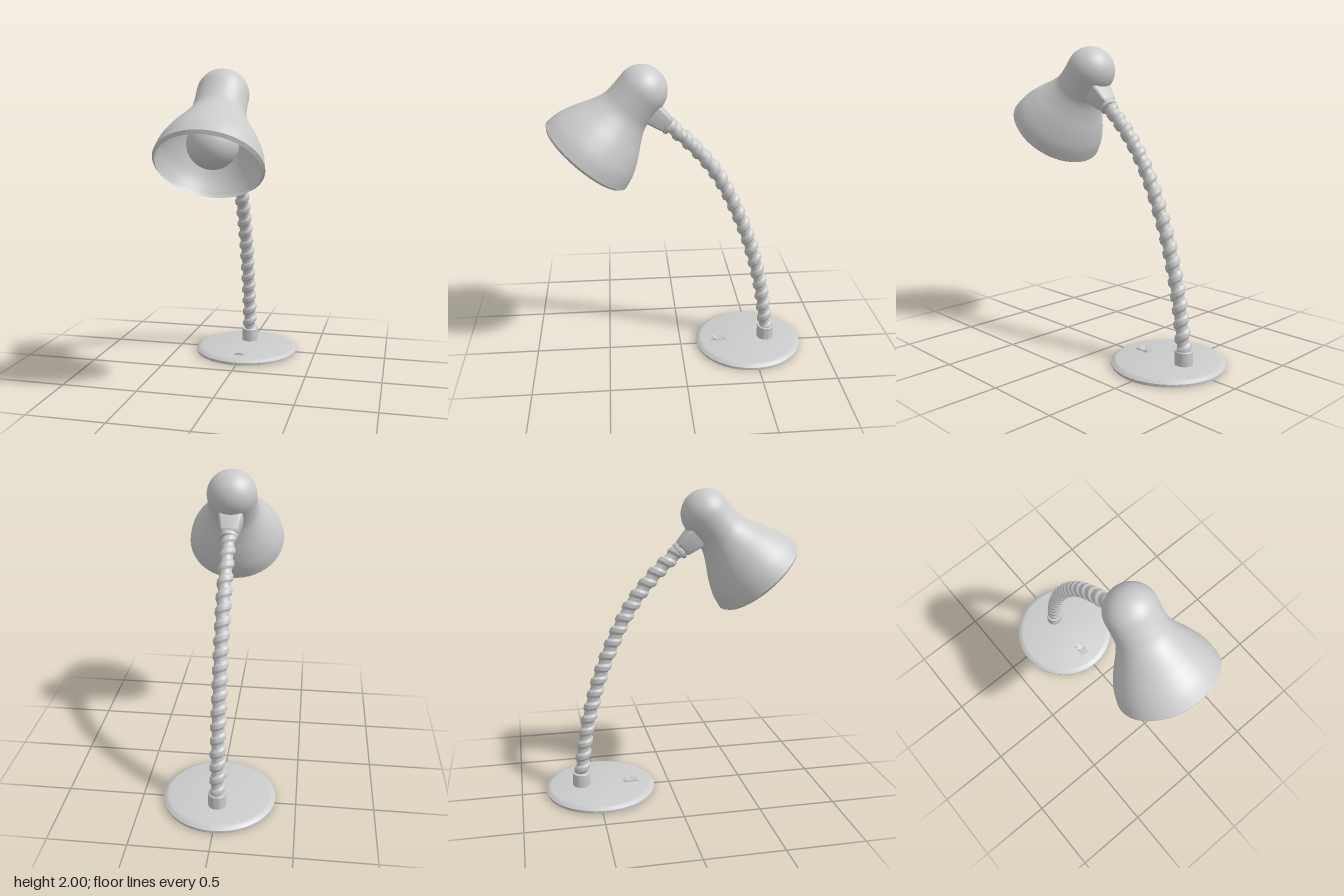
import * as THREE from 'three';
import { toCreasedNormals } from 'three/addons/utils/BufferGeometryUtils.js';
import { RoundedBoxGeometry } from 'three/addons/geometries/RoundedBoxGeometry.js';

const grey = new THREE.MeshStandardMaterial({ color: 0xcccccc });

function part(name, geometry, parent, x = 0, y = 0, z = 0) {
  const mesh = new THREE.Mesh(geometry, grey);
  mesh.name = name;
  mesh.position.set(x, y, z);
  parent.add(mesh);
  return mesh;
}

const lathe = (points, segments = 72) =>
  toCreasedNormals(new THREE.LatheGeometry(points, segments), 0.5);
const pts = (list) => list.map(([x, y]) => new THREE.Vector2(x, y));

// Tube whose wall rises and falls along a spiral, like a wound metal hose
function spiralHose(curve, radius, depth, pitch) {
  const rings = 480, sides = 24;
  const turns = curve.getLength() / pitch;
  const geometry = new THREE.TubeGeometry(curve, rings, radius, sides);
  const pos = geometry.attributes.position;
  const v = new THREE.Vector3();
  for (let i = 0; i <= rings; i++) {
    const centre = curve.getPointAt(i / rings);
    for (let j = 0; j <= sides; j++) {
      const k = i * (sides + 1) + j;
      const wave = Math.sin(2 * Math.PI * (turns * i / rings + j / sides));
      const r = radius + depth * THREE.MathUtils.clamp(wave * 1.8, -1, 1);
      v.fromBufferAttribute(pos, k).sub(centre).setLength(r).add(centre);
      pos.setXYZ(k, v.x, v.y, v.z);
    }
  }
  return toCreasedNormals(geometry, 0.6);
}

// Shade profile: inner wall down to the lip, then outer wall up to the dome.
// The local origin is the dome centre and the opening points down -y.
function shadeGeometry() {
  const R = 0.158, wall = 0.014;
  const flare = new THREE.SplineCurve(pts([
    [0.322, -0.538], [0.302, -0.445], [0.257, -0.345], [0.203, -0.25],
    [0.167, -0.17], [0.158, -0.09], [R, 0],
  ])).getPoints(36);
  const dome = [];
  for (let i = 1; i <= 16; i++) {
    const a = (i / 16) * Math.PI / 2;
    dome.push(new THREE.Vector2(R * Math.cos(a), R * Math.sin(a)));
  }
  dome[15].x = 0;
  const outer = [...flare, ...dome];
  const inner = outer.map((p) => new THREE.Vector2(
    Math.max(0, p.x - wall), p.y > 0 ? p.y * (1 - wall / R) : p.y)).reverse();
  return lathe([...inner, new THREE.Vector2(0.305, -0.556), ...outer], 80);
}

export function createModel() {
  const lamp = new THREE.Group();
  lamp.name = 'deskLamp';

  // Round base with a stepped, bevelled edge
  part('base', lathe(pts([
    [0, 0], [0.36, 0], [0.36, 0.011], [0.366, 0.014], [0.366, 0.021],
    [0.352, 0.03], [0.343, 0.037], [0.33, 0.04], [0, 0.04],
  ])), lamp, 0, 0, -0.475);

  // Rocker switch: frame and a dished key
  const frame = new THREE.Shape(pts([[-0.03, -0.05], [0.03, -0.05], [0.03, 0.05], [-0.03, 0.05]]));
  frame.holes.push(new THREE.Path(pts([[-0.022, -0.041], [-0.022, 0.041], [0.022, 0.041], [0.022, -0.041]])));
  const frameGeometry = new THREE.ExtrudeGeometry(frame, { depth: 0.008, bevelEnabled: false });
  part('switchFrame', frameGeometry.rotateX(-Math.PI / 2), lamp, 0, 0.038, -0.265);
  const key = new THREE.Shape(pts([[-0.04, 0], [0.04, 0], [0.04, 0.014], [0, 0.006], [-0.04, 0.014]]));
  const keyGeometry = new THREE.ExtrudeGeometry(key, { depth: 0.042, bevelEnabled: false });
  part('switchKey', keyGeometry.translate(0, 0, -0.021).rotateY(Math.PI / 2), lamp, 0, 0.038, -0.265);

  // Collar that holds the neck
  part('neckCollar', lathe(pts([
    [0, 0], [0.058, 0], [0.058, 0.088], [0.055, 0.092], [0, 0.092],
  ]), 40), lamp, 0, 0.038, -0.602);

  // Bent gooseneck
  const neckPath = new THREE.CatmullRomCurve3([
    [0.1, -0.602], [0.3, -0.578], [0.52, -0.538], [0.877, -0.432],
    [1.25, -0.257], [1.45, -0.105], [1.63, 0.085],
  ].map(([y, z]) => new THREE.Vector3(0, y, z)));
  part('neck', spiralHose(neckPath, 0.045, 0.006, 0.09), lamp);

  // Joint between neck and shade: a ring and a tapered block
  const joint = new THREE.Group();
  joint.name = 'shadeJoint';
  joint.position.set(0, 1.61, 0.07);
  joint.rotation.x = 0.86;
  lamp.add(joint);
  part('jointRing', lathe(pts([
    [0, -0.012], [0.052, -0.012], [0.058, -0.006], [0.058, 0.012], [0.05, 0.02], [0, 0.02],
  ]), 40), joint);
  const block = new RoundedBoxGeometry(0.17, 0.18, 0.15, 4, 0.025);
  const bp = block.attributes.position;
  for (let i = 0; i < bp.count; i++) {
    const s = THREE.MathUtils.lerp(0.6, 1, THREE.MathUtils.clamp((bp.getY(i) + 0.09) / 0.11, 0, 1));
    bp.setXYZ(i, bp.getX(i) * s, bp.getY(i), bp.getZ(i) * s);
  }
  part('jointBlock', toCreasedNormals(block, 0.6), joint, 0, 0.1, 0);

  // Tilted head with shade, socket and bulb
  const head = new THREE.Group();
  head.name = 'head';
  head.position.set(0, 1.842, 0.238);
  head.rotation.x = -0.716;
  head.scale.x = 1.025;
  lamp.add(head);
  part('shade', shadeGeometry(), head);
  part('bulbSocket', new THREE.CylinderGeometry(0.06, 0.07, 0.4, 32), head, 0, -0.06, 0);
  part('bulb', new THREE.SphereGeometry(0.152, 48, 32), head, 0, -0.382, 0);

  return lamp;
}
